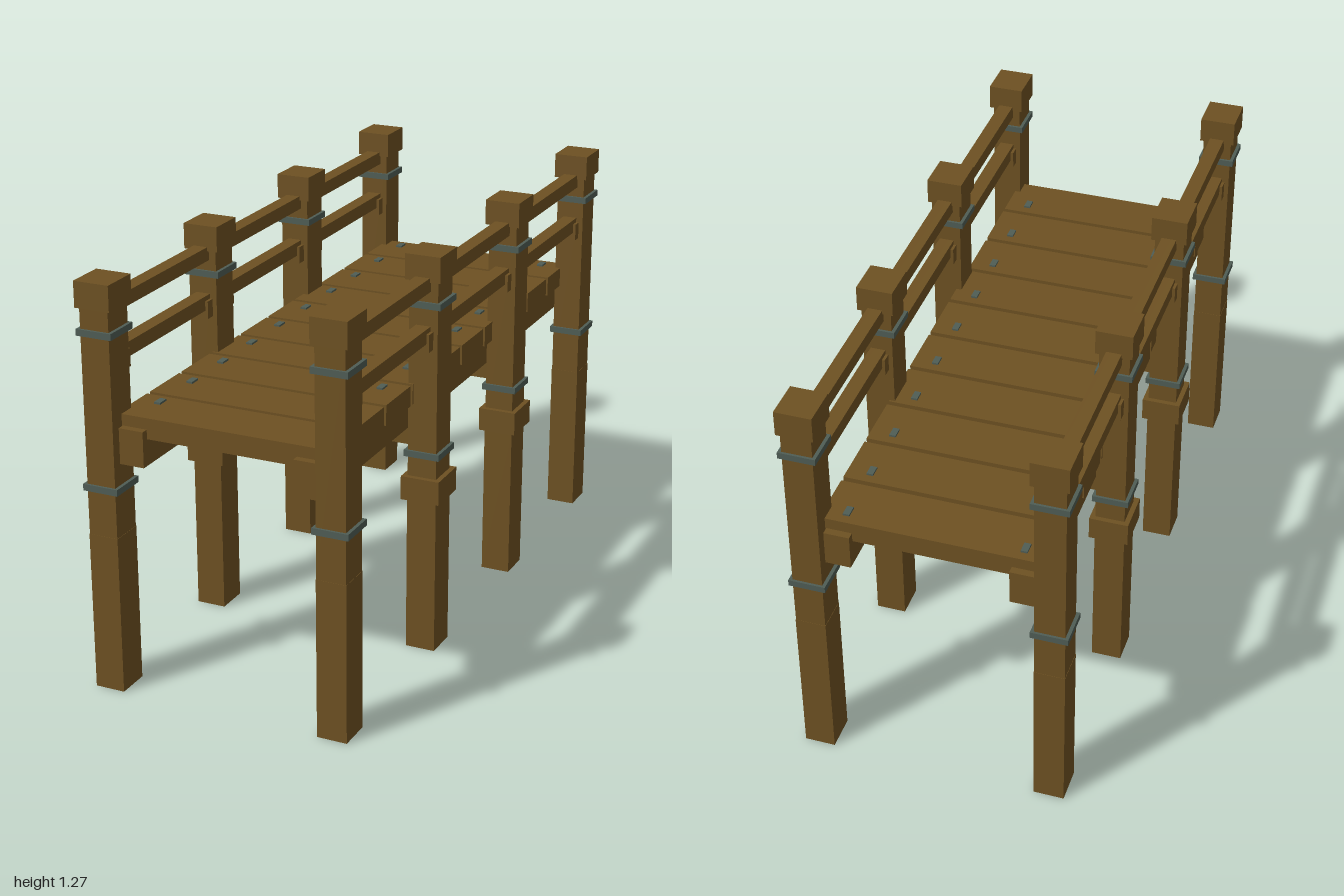
import * as THREE from 'three';

export function createModel() {
  const wood = new THREE.MeshStandardMaterial({ color: 0x6e5122 });
  wood.name = 'brown wood';
  const iron = new THREE.MeshStandardMaterial({ color: 0x4f5d55 });
  iron.name = 'grey iron';

  const model = new THREE.Group();
  model.name = 'woodenJetty';

  // Box of size [w, h, d] standing on y = bottom
  function box(parent, name, [w, h, d], [x, bottom, z], material = wood) {
    const mesh = new THREE.Mesh(new THREE.BoxGeometry(w, h, d), material);
    mesh.name = name;
    mesh.position.set(x, bottom + h / 2, z);
    parent.add(mesh);
    return mesh;
  }

  const POST_X = 0.365, END_Z = 0.938, MID_Z = 0.312;

  // Posts with caps, iron bands and, on the middle ones, thick collars
  for (const side of [-1, 1]) {
    for (const z of [-END_Z, -MID_Z, MID_Z, END_Z]) {
      const post = new THREE.Group();
      post.name = 'post';
      post.position.set(side * POST_X, 0, z);
      model.add(post);
      box(post, 'postFoot', [0.094, 0.495, 0.107], [0, 0, 0]);
      box(post, 'postShaft', [0.092, 0.695, 0.105], [0, 0.495, 0]);
      box(post, 'postCap', [0.112, 0.079, 0.123], [0, 1.187, 0]);
      for (const y of [0.633, 1.104]) {
        box(post, 'ironBand', [0.113, 0.02, 0.12], [0, y, 0], iron);
      }
      if (Math.abs(z) === MID_Z) {
        box(post, 'postCollar', [0.123, 0.075, 0.137], [0, 0.495, 0]);
      }
      // Blocks carrying the lower rail, only on sides that face another post
      for (const dir of [-1, 1]) {
        if (Math.abs(z + dir * 0.1) > 1) continue;
        box(post, 'railBlock', [0.064, 0.055, 0.04], [0, 0.98, dir * 0.063]);
      }
    }

    // Handrails
    box(model, 'upperRail', [0.046, 0.043, 1.88], [side * POST_X, 1.157, 0]);
    box(model, 'lowerRail', [0.046, 0.045, 1.88], [side * POST_X, 1.005, 0]);

    // Long beam under the deck
    box(model, 'stringer', [0.078, 0.11, 1.925], [side * 0.277, 0.72, 0]);
  }

  // Cross beams between the middle posts
  for (const z of [-MID_Z, MID_Z]) {
    box(model, 'crossBeam', [0.66, 0.085, 0.09], [0, 0.667, z]);
  }

  // Deck planks with a nail head over each stringer
  for (let i = 0; i < 10; i++) {
    const z = (i - 4.5) * 0.1895;
    box(model, 'plank', [0.672, 0.064, 0.173], [0, 0.801, z]);
    for (const x of [-0.265, 0.265]) {
      box(model, 'nailHead', [0.02, 0.006, 0.036], [x, 0.865, z - 0.04], iron);
    }
  }

  return model;
}
